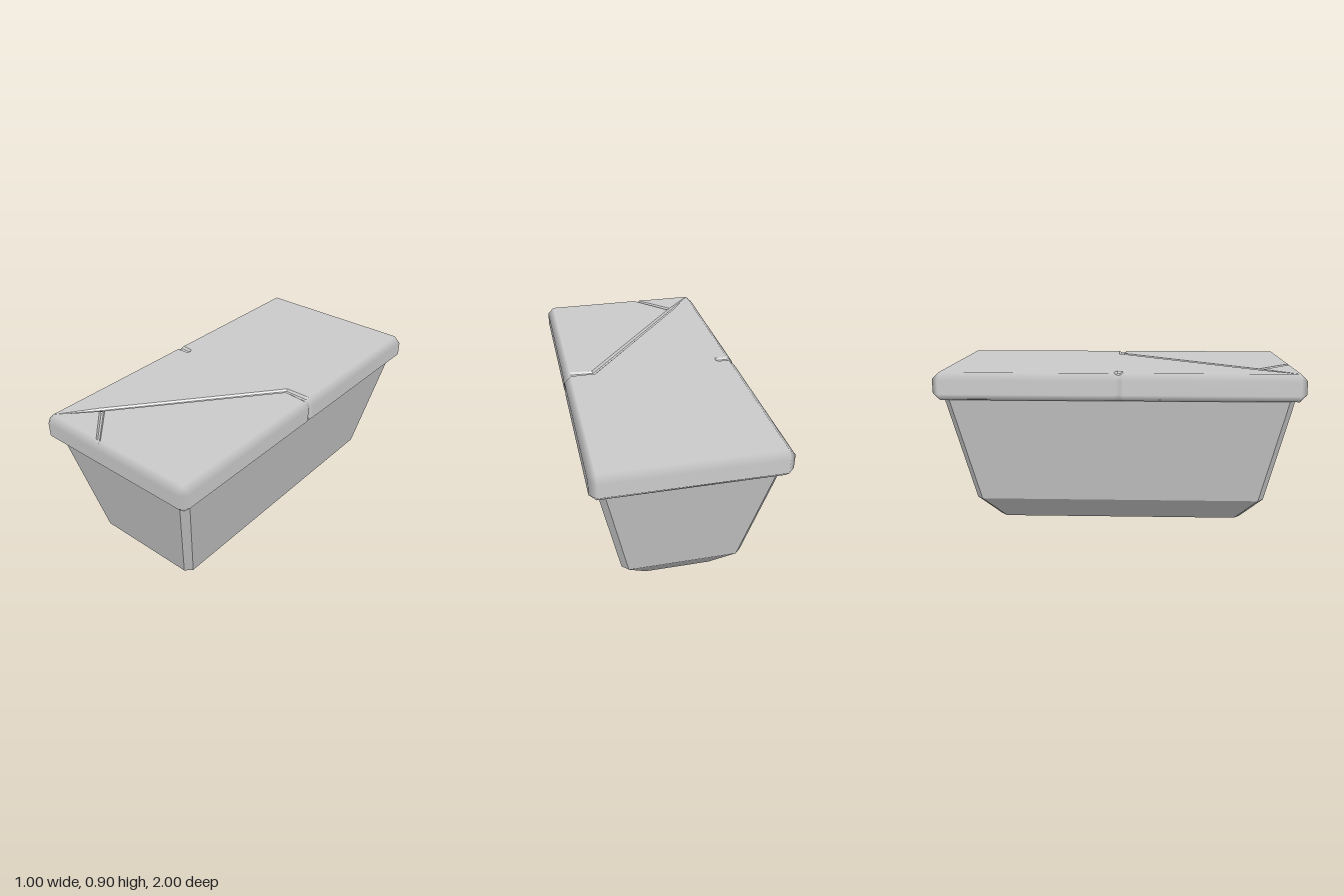
import * as THREE from 'three';

const E = 0.463, H = 0.963, B = 0.037, TOP = 0.9, LOW = 0.75, DIP = 0.01;
const grey = (opts = {}) => new THREE.MeshStandardMaterial({ color: 0xcccccc, ...opts });

function add(parent, name, geometry, opts) {
  const mesh = new THREE.Mesh(geometry, grey(opts));
  mesh.name = name;
  parent.add(mesh);
  return mesh;
}

function buildGeometry(positions, index, normals) {
  const g = new THREE.BufferGeometry();
  g.setAttribute('position', new THREE.Float32BufferAttribute(positions, 3));
  g.setIndex(index);
  if (normals) g.setAttribute('normal', new THREE.Float32BufferAttribute(normals, 3));
  else g.computeVertexNormals();
  return g;
}

// Flat polygon lying at height y, from [x, z] points
function plate(points, y) {
  const shape = new THREE.Shape(points.map(([x, z]) => new THREE.Vector2(x, -z)));
  return new THREE.ShapeGeometry(shape).rotateX(-Math.PI / 2).translate(0, y, 0);
}

// Tapered trough: rectangular sections with cut corners
function bodyGeometry() {
  const c = 0.034, pos = [], index = [];
  const levels = [[0, 0.215, 0.71], [0.145, 0.33, 0.825], [0.76, 0.457, 0.952]];
  for (const [y, x, z] of levels) {
    const ring = [[x, z - c], [x, c - z], [x - c, -z], [c - x, -z],
      [-x, c - z], [-x, z - c], [c - x, z], [x - c, z]];
    for (const [px, pz] of ring) pos.push(px, y, pz);
  }
  for (let k = 0; k < 2; k++) {
    for (let i = 0; i < 8; i++) {
      const j = (i + 1) % 8, a = k * 8 + i, b = k * 8 + j;
      index.push(a, b, b + 8, a, b + 8, a + 8);
    }
  }
  for (let i = 1; i < 7; i++) index.push(0, i + 1, i);
  return buildGeometry(pos, index);
}

// Bevelled rim of the lid, with the grooves notched into its edges
function rimGeometry() {
  const cols = []; // [x, z, nx, nz, side dip, top dip, lean]
  const notch = [[0.024, 0], [0.0096, 1], [-0.0096, 1], [-0.0024 * 10, 0]];
  const side = (s) => {
    cols.push([s * E, s * H, s, 0, 0, 0, 0]);
    for (const [z, on] of notch) {
      cols.push([s * E, s * z, s, 0, on * 0.013, on * DIP, on * -Math.sign(z) * s * 0.5]);
    }
    cols.push([s * E, -s * H, s, 0, 0, 0, 0]);
  };
  side(1);
  cols.push([E, -H, 0, -1, 0, 0, 0], [-E, -H, 0, -1, 0, 0, 0]);
  side(-1);
  for (const [x, t] of [[-E, 0], [-0.126, 0], [-0.1164, DIP], [-0.1036, DIP], [-0.094, 0], [E, 0]]) {
    cols.push([x, H, 0, 1, 0, t, 0]);
  }
  const pos = [], nor = [], index = [];
  for (const [x, z, nx, nz, s, t, lean] of cols) {
    const r = B - s, n = new THREE.Vector3(nx, 0, nz + lean).normalize();
    pos.push(x, LOW, z, x + nx * r, LOW + B, z + nz * r,
      x + nx * r, TOP - B, z + nz * r, x, TOP - t, z);
    nor.push(0, -1, 0, n.x, 0, n.z, n.x, 0, n.z, 0, 1, 0);
  }
  cols.forEach((_, i) => {
    const j = (i + 1) % cols.length;
    for (let k = 0; k < 3; k++) {
      const a = i * 4 + k, b = j * 4 + k;
      index.push(a, b, b + 1, a, b + 1, a + 1);
    }
  });
  return buildGeometry(pos, index, nor);
}

// Groove stations: [x, z, half-width x, half-width z, depth]
const mainCrack = [
  [E, 0, 0, -0.024, DIP], [0.33, -0.005, -0.008, -0.018, DIP],
  [-0.295, 0.758, -0.012, -0.01, DIP], [-0.313, 0.78, -0.012, -0.01, DIP], [-E, H, 0, 0, 0],
];
const branchCrack = [[-0.292, 0.779, 0.009, -0.011, DIP], [-0.11, H, 0.016, 0, DIP]];
const sideCrack = [[-E, 0, 0, -0.024, DIP], [-0.4, 0, 0, -0.02, DIP], [-0.388, 0, 0, -0.02, 0]];

const edge = (stations, sign) => stations.map(([x, z, hx, hz]) => [x + sign * hx, z + sign * hz]);

// Sunken ribbon with sloped walls and a narrow floor
function grooveGeometry(stations) {
  const pos = [], index = [];
  stations.forEach(([x, z, hx, hz, dip], i) => {
    for (const [f, d] of [[1, 0], [0.4, dip], [-0.4, dip], [-1, 0]]) {
      pos.push(x + hx * f, TOP - d, z + hz * f);
    }
    if (i === 0) return;
    for (let k = 0; k < 3; k++) {
      const a = (i - 1) * 4 + k, b = i * 4 + k;
      index.push(a, a + 1, b + 1, a, b + 1, b);
    }
  });
  return buildGeometry(pos, index);
}

export function createModel() {
  const model = new THREE.Group();
  model.name = 'stoneBox';
  add(model, 'body', bodyGeometry(), { flatShading: true });

  const lid = new THREE.Group();
  lid.name = 'lid';
  model.add(lid);
  add(lid, 'lidRim', rimGeometry());
  add(lid, 'lidUnderside', new THREE.PlaneGeometry(2 * E, 2 * H).rotateX(Math.PI / 2).translate(0, LOW, 0));

  // Top face, split into the pieces between the cracks
  const right = edge(mainCrack, -1), branchL = edge(branchCrack, 1), branchR = edge(branchCrack, -1);
  add(lid, 'lidTopMain', plate([
    ...edge(mainCrack, 1),
    ...edge(sideCrack, -1), ...edge(sideCrack, 1).reverse(),
    [-E, -H], [E, -H],
  ], TOP));
  add(lid, 'lidTopSide', plate([right[0], right[1], branchL[0], branchL[1], [E, H]], TOP));
  add(lid, 'lidTopCorner', plate([branchR[0], [-E, H], branchR[1]], TOP));

  // Cracks
  const cracks = { mainCrack, branchCrack, sideCrack };
  for (const name in cracks) {
    add(lid, name, grooveGeometry(cracks[name]), { flatShading: true, side: THREE.DoubleSide });
  }
  return model;
}
